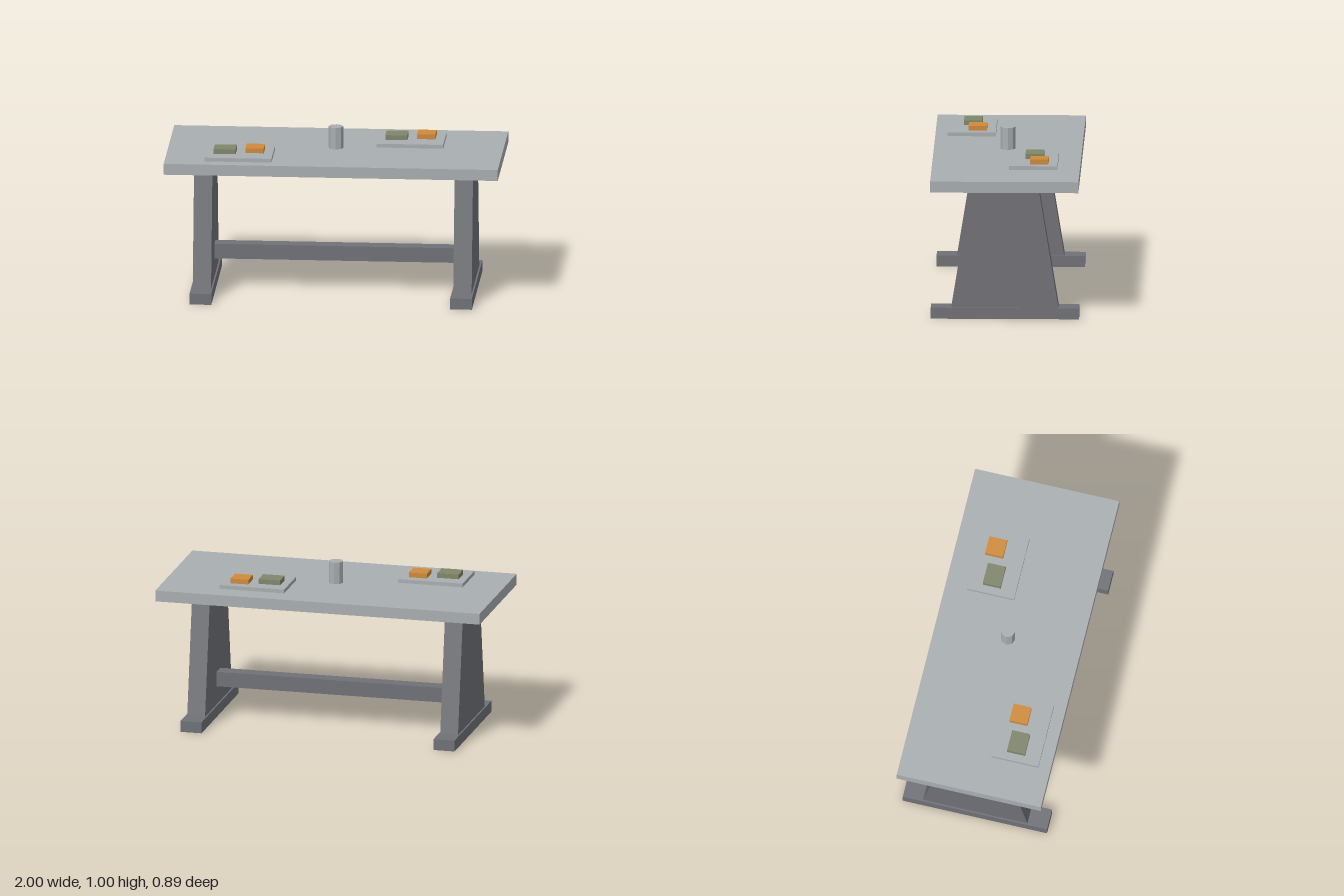
import * as THREE from 'three';

const mat = (name, color) => {
  const m = new THREE.MeshStandardMaterial({ color });
  m.name = name;
  return m;
};

export function createModel() {
  const light = mat('light grey', 0xa9aeb1);
  const dark = mat('dark grey', 0x707177);
  const green = mat('olive green', 0x80866b);
  const orange = mat('orange', 0xcf8a3a);

  const model = new THREE.Group();
  model.name = 'table';

  const add = (parent, name, geometry, material, x, y, z) => {
    const mesh = new THREE.Mesh(geometry, material);
    mesh.name = name;
    mesh.position.set(x, y, z);
    parent.add(mesh);
    return mesh;
  };
  // Box placed by its centre in x and z and its underside in y
  const box = (parent, name, material, w, h, d, x, y, z) =>
    add(parent, name, new THREE.BoxGeometry(w, h, d), material, x, y + h / 2, z);

  box(model, 'tabletop', light, 2, 0.067, 0.886, 0, 0.8, 0);
  box(model, 'stretcher', dark, 1.46, 0.09, 0.09, 0, 0.18, 0);

  // Tapered slab legs on wide feet
  const legShape = new THREE.Shape([
    new THREE.Vector2(-0.32, 0.067), new THREE.Vector2(0.32, 0.067),
    new THREE.Vector2(0.2, 0.8), new THREE.Vector2(-0.2, 0.8),
  ]);
  const legGeometry = new THREE.ExtrudeGeometry(legShape, { depth: 0.11, bevelEnabled: false });
  legGeometry.translate(0, 0, -0.055).rotateY(Math.PI / 2);
  for (const [side, x] of [['left', 0.78], ['right', -0.78]]) {
    add(model, side + 'Leg', legGeometry, dark, x, 0, 0);
    box(model, side + 'Foot', dark, 0.13, 0.067, 0.886, x, 0, 0);
  }

  // Eight-sided cup in the middle
  const cup = new THREE.CylinderGeometry(0.044, 0.044, 0.133, 8).toNonIndexed();
  cup.computeVertexNormals();
  add(model, 'cup', cup, light, 0, 0.9335, 0);

  // Two trays, each with two portions of food
  for (const [side, x, z] of [['left', 0.44, -0.165], ['right', -0.56, 0.225]]) {
    const tray = new THREE.Group();
    tray.name = side + 'Tray';
    tray.position.set(x, 0.867, z);
    model.add(tray);
    box(tray, 'trayPlate', light, 0.4, 0.023, 0.288, 0, 0, 0);
    box(tray, 'greenPortion', green, 0.132, 0.029, 0.11, -0.087, 0.023, -0.004);
    box(tray, 'orangePortion', orange, 0.11, 0.029, 0.11, 0.09, 0.023, -0.035);
  }
  return model;
}
